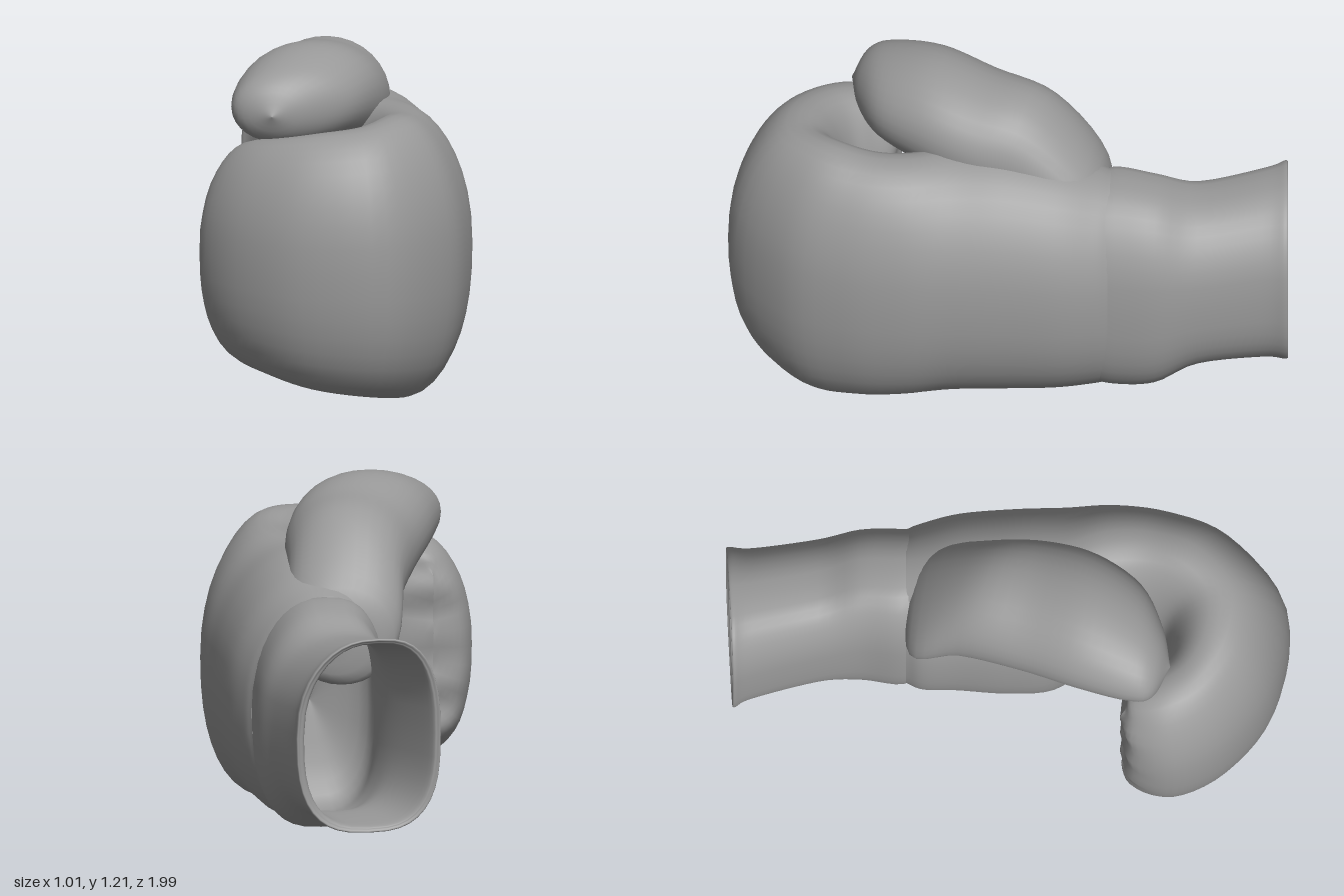
import * as THREE from 'three';

const material = new THREE.MeshStandardMaterial({ color: 0x999999, side: THREE.DoubleSide });

// Loft of rounded sections. Each station: [outerX, outerZ, innerX, innerZ, bottomY, topY]
// lean draws the upper outer side inward; deform adjusts single points.
function loft(name, stations, { power = 2.3, sides = 40, steps = 5, lean = 0, deform } = {}) {
  const curve = (f) => new THREE.CatmullRomCurve3(stations.map(f), false, 'catmullrom', 0.5);
  const outer = curve((s) => new THREE.Vector3(s[0], 0, s[1]));
  const inner = curve((s) => new THREE.Vector3(s[2], 0, s[3]));
  const height = curve((s) => new THREE.Vector3(s[4], s[5], 0));
  const rows = (stations.length - 1) * steps;
  const round = (v) => Math.sign(v) * Math.abs(v) ** (2 / power);
  const positions = [];
  const index = [];
  for (let i = 0; i <= rows; i++) {
    const t = i / rows;
    const o = outer.getPoint(t);
    const n = inner.getPoint(t);
    const h = height.getPoint(t);
    for (let j = 0; j < sides; j++) {
      const a = (j / sides) * Math.PI * 2;
      const up = round(Math.sin(a));
      const k = (0.5 + 0.5 * round(Math.cos(a))) * (1 - lean * Math.max(0, up) ** 2);
      const p = n.clone().lerp(o, k);
      p.y = (h.x + h.y) / 2 + ((h.y - h.x) / 2) * up;
      if (deform) deform(p, t);
      positions.push(p.x, p.y, p.z);
      if (i < rows) {
        const b = i * sides + j;
        const c = i * sides + ((j + 1) % sides);
        index.push(b, c, b + sides, c, c + sides, b + sides);
      }
    }
  }
  const geometry = new THREE.BufferGeometry();
  geometry.setAttribute('position', new THREE.Float32BufferAttribute(positions, 3));
  geometry.setIndex(index);
  geometry.computeVertexNormals();
  const mesh = new THREE.Mesh(geometry, material);
  mesh.name = name;
  return mesh;
}

export function createModel() {
  const glove = new THREE.Group();
  glove.name = 'boxingGlove';

  // Padded hand: thick palm, a hollow in front of it, then the fingers curl back
  glove.add(loft('handAndFingers', [
    [0.455, -0.355, -0.03, -0.37, 0.07, 0.89],
    [0.475, -0.30, -0.06, -0.31, 0.06, 0.91],
    [0.50, -0.16, -0.07, -0.19, 0.05, 0.95],
    [0.503, 0.04, -0.09, -0.02, 0.04, 0.985],
    [0.50, 0.22, -0.08, 0.15, 0.035, 0.99],
    [0.495, 0.40, 0.02, 0.29, 0.03, 0.995],
    [0.455, 0.60, 0.05, 0.40, 0.015, 1.00],
    [0.35, 0.81, 0.04, 0.49, 0.00, 1.015],
    [0.10, 0.99, 0.01, 0.54, 0.03, 1.00],
    [-0.20, 0.94, -0.05, 0.55, 0.06, 0.98],
    [-0.41, 0.77, -0.11, 0.53, 0.10, 0.95],
    [-0.505, 0.57, -0.14, 0.48, 0.13, 0.92],
    [-0.46, 0.42, -0.19, 0.41, 0.19, 0.87],
    [-0.34, 0.385, -0.34, 0.385, 0.28, 0.80],
  ], {
    lean: 0.1,
    // Shallow creases across the finger ends
    deform: (p, t) => {
      p.z += 0.008 * THREE.MathUtils.smoothstep(t, 0.82, 0.95) * Math.cos(p.y * 38);
    },
  }));

  // Thumb: grows out of the wrist and lies across the top to the finger ends
  glove.add(loft('thumb', [
    [0.18, -0.36, 0.18, -0.36, 0.72, 0.72],
    [0.31, -0.29, -0.06, -0.36, 0.56, 0.91],
    [0.27, -0.05, -0.13, -0.19, 0.70, 1.13],
    [0.24, 0.15, -0.22, 0.03, 0.77, 1.18],
    [0.17, 0.32, -0.31, 0.22, 0.83, 1.21],
    [0.05, 0.47, -0.37, 0.40, 0.88, 1.17],
    [-0.11, 0.54, -0.36, 0.49, 0.92, 1.11],
    [-0.25, 0.56, -0.25, 0.56, 1.01, 1.01],
  ], { power: 2.05, sides: 32 }));

  // Cuff: lining from its closed depth back to the rim, then the outside forward
  glove.add(loft('cuff', [
    [0.22, -0.22, 0.22, -0.22, 0.49, 0.49],
    [0.41, -0.32, 0.03, -0.32, 0.16, 0.81],
    [0.43, -0.52, 0.03, -0.52, 0.13, 0.83],
    [0.415, -0.70, 0.00, -0.70, 0.18, 0.79],
    [0.38, -0.95, -0.075, -0.95, 0.18, 0.83],
    [0.40, -0.99, -0.10, -0.985, 0.165, 0.845],
    [0.412, -0.985, -0.11, -0.98, 0.155, 0.855],
    [0.405, -0.90, -0.08, -0.92, 0.165, 0.84],
    [0.435, -0.67, -0.02, -0.68, 0.16, 0.815],
    [0.46, -0.52, 0.00, -0.53, 0.09, 0.865],
    [0.455, -0.38, -0.02, -0.38, 0.075, 0.885],
    [0.44, -0.28, 0.03, -0.28, 0.10, 0.87],
  ], { power: 2.8, lean: 0.14 }));

  return glove;
}
